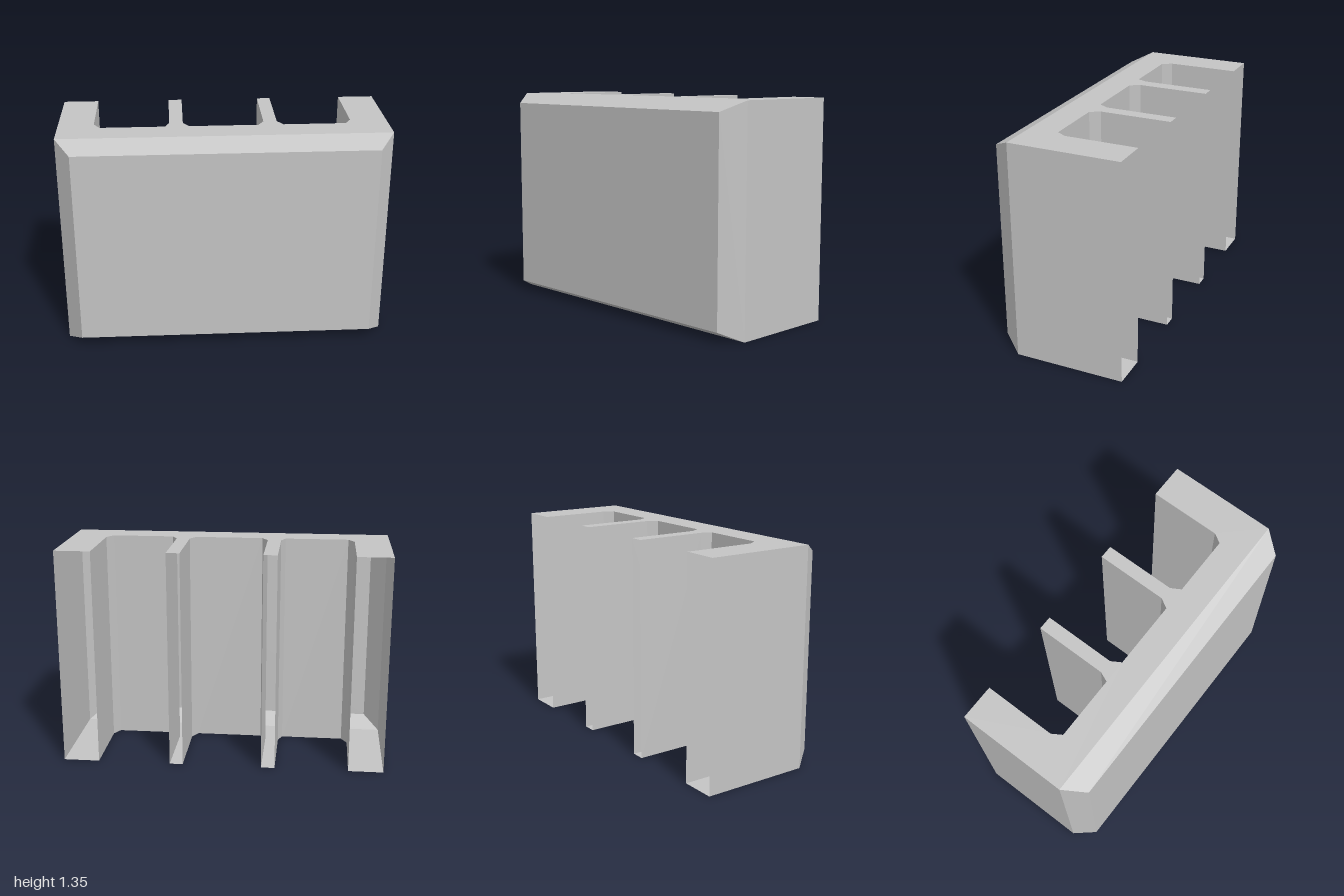
import * as THREE from 'three';

const H = 1.345, BACK = -0.403, RIM = 0.277, FRONT = 0.403;
const FACE_X = 0.907, FACE_Y = 0.062;

// Each rear channel, right to left in plan: [x at +x wall, x at floor, x at floor, x at -x wall]
const CHANNELS = [
  [0.778, 0.742, 0.362, 0.327],
  [0.245, 0.21, -0.21, -0.246],
  [-0.33, -0.355, -0.747, -0.784],
];
const channelPath = ([a, b, c, d]) => [[a, BACK], [a, 0.04], [b, 0.1], [c, 0.1], [d, 0.04], [d, BACK]];

// Flat-shaded quads, corners counter-clockwise seen from outside
function quads(list) {
  const pos = [];
  for (const [a, b, c, d] of list) pos.push(...a, ...b, ...c, ...a, ...c, ...d);
  const g = new THREE.BufferGeometry();
  g.setAttribute('position', new THREE.Float32BufferAttribute(pos, 3));
  g.computeVertexNormals();
  return g;
}

// Upright walls along an open plan path
function walls(path) {
  return quads(path.slice(1).map(([bx, bz], i) => {
    const [ax, az] = path[i];
    return [[ax, 0, az], [bx, 0, bz], [bx, H, bz], [ax, H, az]];
  }));
}

// Comb-shaped end cap; side is 1 for the underside, -1 for the top
function cap(side) {
  const plan = [[-1, BACK], [-1, RIM], [1, RIM], [1, BACK], ...CHANNELS.flatMap(channelPath)];
  const shape = new THREE.Shape(plan.map(([x, z]) => new THREE.Vector2(x, side * z)));
  const g = new THREE.ShapeGeometry(shape);
  g.rotateX(side * Math.PI / 2);
  return g.translate(0, side < 0 ? H : 0, 0);
}

export function createModel() {
  const group = new THREE.Group();
  // Thin shell, open at the rear ends of the ribs
  const grey = new THREE.MeshStandardMaterial({ color: 0xc4c4c4, side: THREE.DoubleSide });
  grey.name = 'grey';
  const add = (name, geometry) => {
    const mesh = new THREE.Mesh(geometry, grey);
    mesh.name = name;
    group.add(mesh);
  };

  add('topCap', cap(-1));
  add('bottomCap', cap(1));
  add('rightSide', walls([[-1, BACK], [-1, RIM]]));
  add('leftSide', walls([[1, RIM], [1, BACK]]));
  CHANNELS.forEach((c, i) => add(`rearChannel${i + 1}`, walls(channelPath(c))));

  // Front panel with a bevelled border
  const rim = [[-1, 0, RIM], [1, 0, RIM], [1, H, RIM], [-1, H, RIM]];
  const face = [
    [-FACE_X, FACE_Y, FRONT], [FACE_X, FACE_Y, FRONT],
    [FACE_X, H - FACE_Y, FRONT], [-FACE_X, H - FACE_Y, FRONT],
  ];
  add('frontPanel', quads([face]));
  add('frontBevel', quads(rim.map((p, i) => {
    const j = (i + 1) % 4;
    return [p, rim[j], face[j], face[i]];
  })));
  return group;
}
